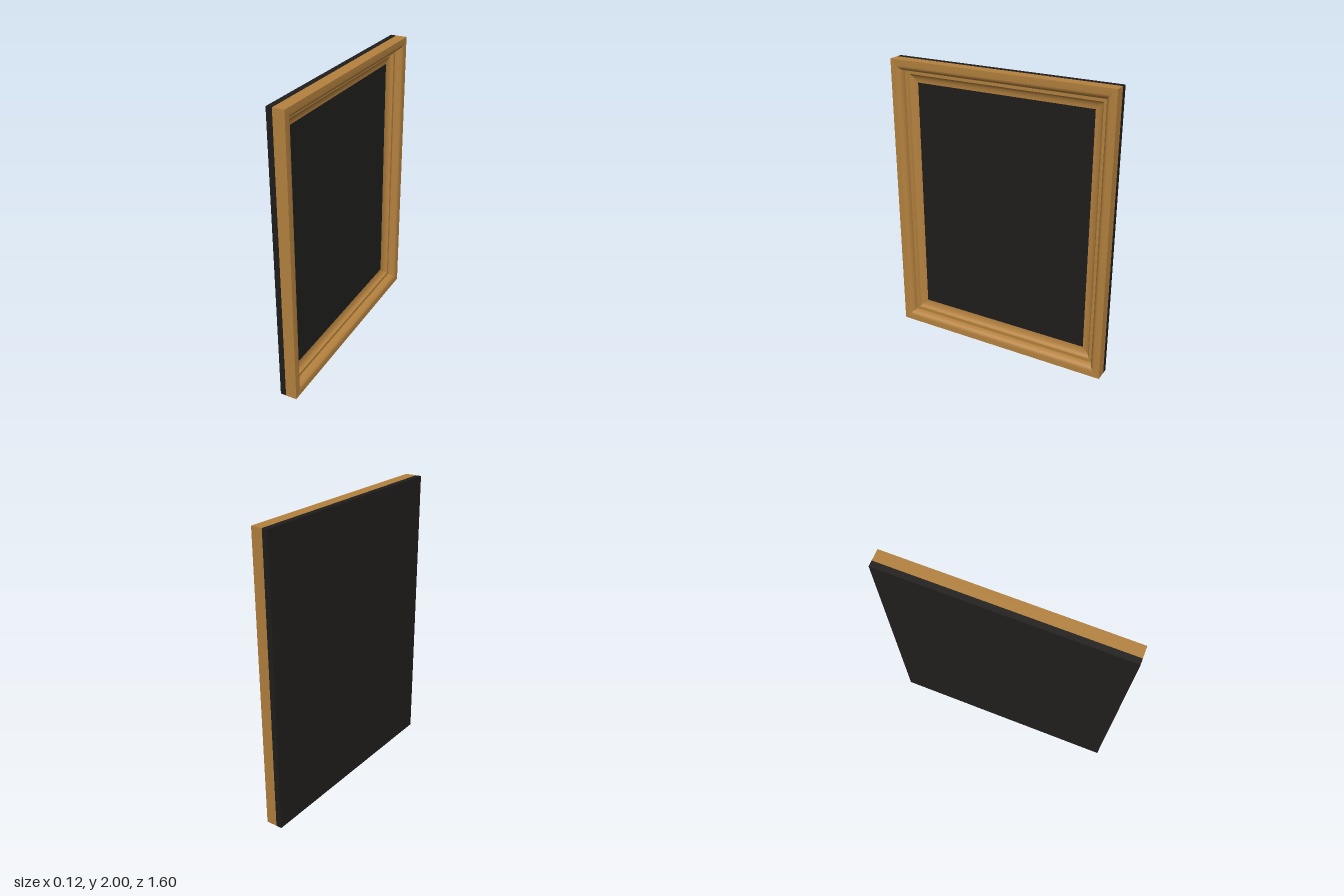
import * as THREE from 'three';
import { toCreasedNormals } from 'three/addons/utils/BufferGeometryUtils.js';

const HALF_W = 0.8, HALF_H = 1, BACK = -0.06, SEAT = -0.02, FACE = 0.058, STEP = 0.01;

// Moulding cross-section: [inset from the outer edge, x], from outer back to inner lip
function mouldingProfile() {
  const pts = [[0, SEAT], [0, FACE]];
  const n = 8;
  // convex shoulder falling to the flat step
  for (let i = 0; i <= n; i++) {
    const a = (i / n) * Math.PI / 2;
    pts.push([0.04 + 0.037 * Math.sin(a), STEP + (FACE - STEP) * Math.cos(a)]);
  }
  // concave cove from the step down to the panel
  for (let i = 0; i <= n; i++) {
    const a = (i / n) * Math.PI / 2;
    pts.push([0.16 - 0.06 * Math.cos(a), STEP - (STEP - SEAT) * Math.sin(a)]);
  }
  return pts;
}

// One mitred rail running between two corners, given as signs [z, y]
function railGeometry(profile, from, to) {
  const at = ([sz, sy], [inset, x]) => [x, HALF_H + sy * (HALF_H - inset), sz * (HALF_W - inset)];
  const pos = [];
  for (let i = 0; i < profile.length - 1; i++) {
    const a = at(from, profile[i]), b = at(to, profile[i]);
    const c = at(to, profile[i + 1]), d = at(from, profile[i + 1]);
    pos.push(...a, ...b, ...c, ...a, ...c, ...d);
  }
  const geo = new THREE.BufferGeometry();
  geo.setAttribute('position', new THREE.Float32BufferAttribute(pos, 3));
  return toCreasedNormals(geo, Math.PI / 6);
}

export function createModel() {
  const model = new THREE.Group();
  model.name = 'pictureFrame';
  const wood = new THREE.MeshStandardMaterial({ color: 0xb5823f });
  const dark = new THREE.MeshStandardMaterial({ color: 0x1f1e1c });

  // Backing board, whose front shows inside the frame
  const board = new THREE.Mesh(new THREE.BoxGeometry(SEAT - BACK, 2 * HALF_H, 2 * HALF_W), dark);
  board.name = 'backingBoard';
  board.position.set((BACK + SEAT) / 2, HALF_H, 0);
  model.add(board);

  // Four mitred moulding rails
  const frame = new THREE.Group();
  frame.name = 'moulding';
  const corners = [[1, -1], [-1, -1], [-1, 1], [1, 1]];
  const names = ['bottomRail', 'backRail', 'topRail', 'frontRail'];
  const profile = mouldingProfile();
  names.forEach((name, i) => {
    const rail = new THREE.Mesh(railGeometry(profile, corners[i], corners[(i + 1) % 4]), wood);
    rail.name = name;
    frame.add(rail);
  });
  model.add(frame);
  return model;
}
